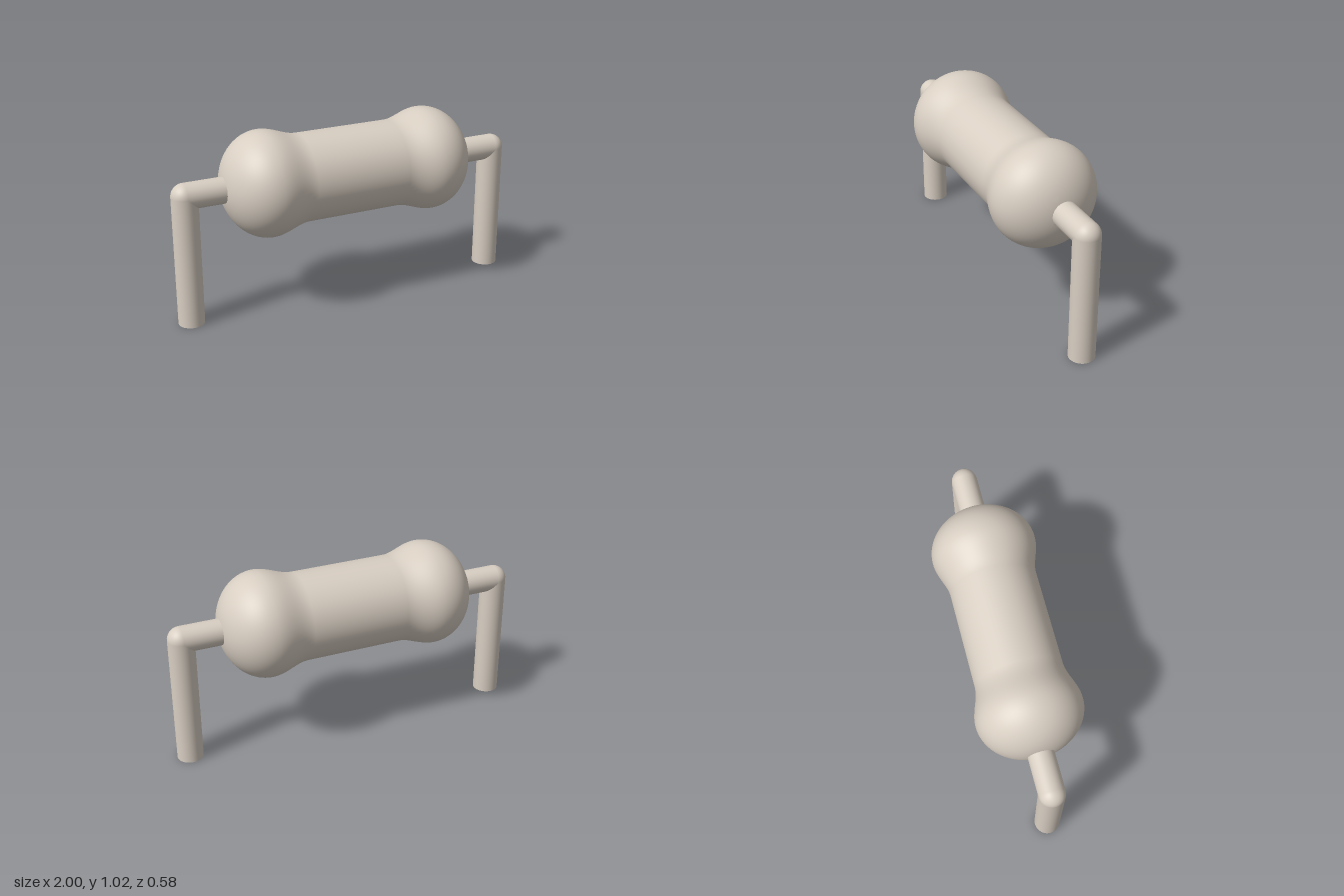
import * as THREE from 'three';

const AXIS_Y = 0.732, WIRE_R = 0.072, LEG_X = 1 - WIRE_R;

// Half profile of the body as [radius, x], from the end tip to the waist
function halfProfile() {
  const bulgeX = 0.482, bulgeR = 0.292, waistX = 0.27, waistR = 0.243, tipX = 0.724;
  const pts = [];
  for (let i = 0; i <= 20; i++) {
    const a = (i / 20) * Math.PI / 2;
    pts.push([bulgeR * Math.sin(a), bulgeX + (tipX - bulgeX) * Math.cos(a)]);
  }
  for (let i = 1; i <= 14; i++) {
    const t = i / 14;
    pts.push([waistR + (bulgeR - waistR) * (0.5 + 0.5 * Math.cos(Math.PI * t)), bulgeX + (waistX - bulgeX) * t]);
  }
  return pts;
}

export function createModel() {
  const group = new THREE.Group();
  const beige = new THREE.MeshStandardMaterial({ color: 0xd8cec2 });
  beige.name = 'warm beige';

  const add = (name, geometry, x, y, turned) => {
    const mesh = new THREE.Mesh(geometry, beige);
    mesh.name = name;
    mesh.position.set(x, y, 0);
    if (turned) mesh.rotation.z = -Math.PI / 2;
    group.add(mesh);
  };

  // Dumbbell-shaped body turned about the x axis
  const half = halfProfile();
  const profile = [
    ...half.map(([r, x]) => new THREE.Vector2(r, -x)),
    ...half.slice().reverse().map(([r, x]) => new THREE.Vector2(r, x)),
  ];
  add('body', new THREE.LatheGeometry(profile, 64), 0, AXIS_Y, true);

  // Bent wire lead on each side
  const innerX = 0.66, leadLength = LEG_X - innerX;
  for (const [side, s] of [['left', 1], ['right', -1]]) {
    add(side + 'Lead', new THREE.CylinderGeometry(WIRE_R, WIRE_R, leadLength, 40, 1, true), s * (innerX + leadLength / 2), AXIS_Y, true);
    add(side + 'Elbow', new THREE.SphereGeometry(WIRE_R, 40, 24), s * LEG_X, AXIS_Y);
    add(side + 'Leg', new THREE.CylinderGeometry(WIRE_R, WIRE_R, AXIS_Y, 40), s * LEG_X, AXIS_Y / 2);
  }
  return group;
}
